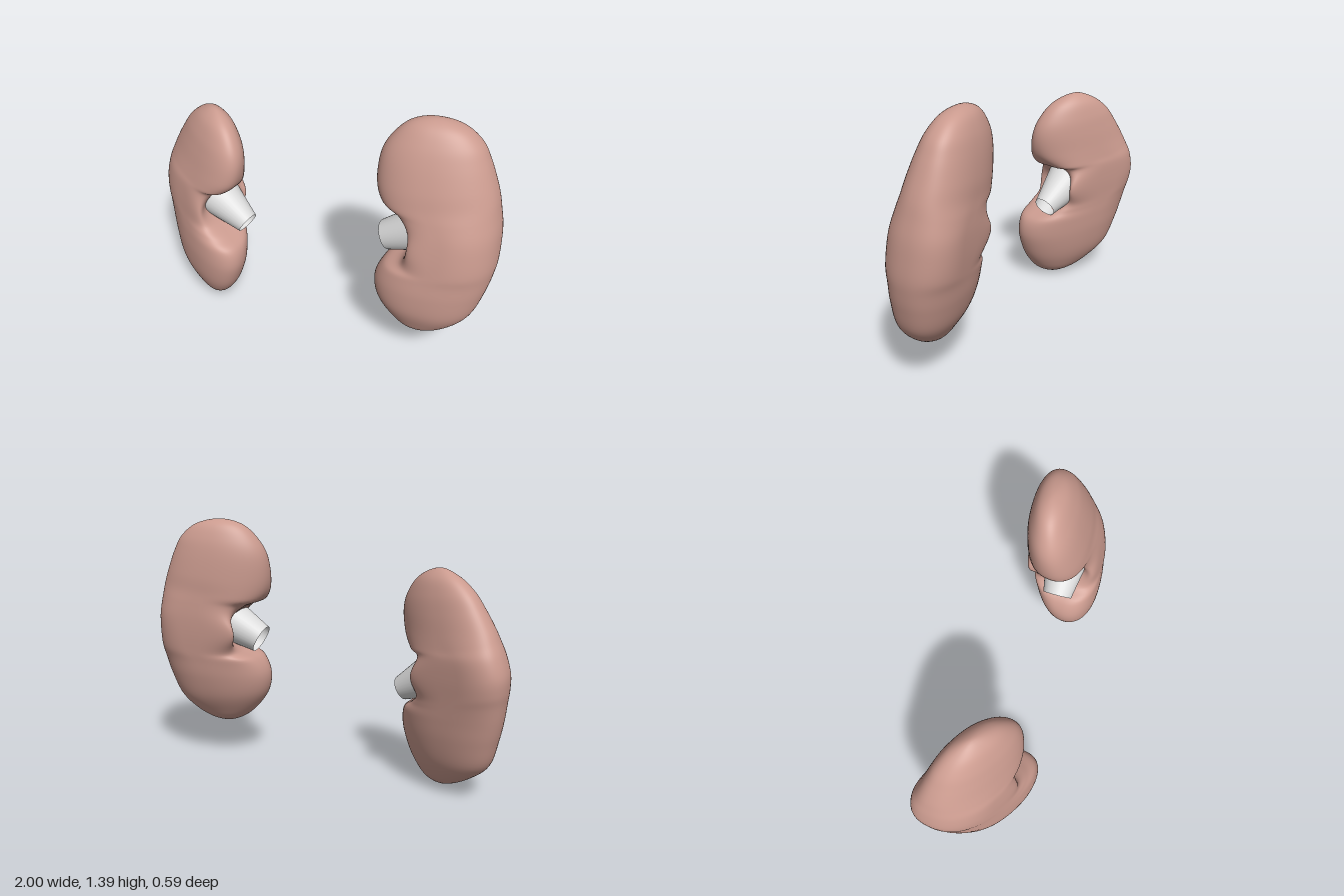
import * as THREE from 'three';
import { mergeVertices } from 'three/addons/utils/BufferGeometryUtils.js';

const flesh = new THREE.MeshStandardMaterial({ color: 0xcb9b8f });
flesh.name = 'flesh pink';
const duct = new THREE.MeshStandardMaterial({ color: 0xdcdcdc, side: THREE.DoubleSide });
duct.name = 'pale grey';

// Cross-sections from bottom to top: inner x, y, outer x, y, half thickness
const leftSections = [
  [0.68, 0.20, 0.68, 0.20, 0],
  [0.585, 0.23, 0.77, 0.225, 0.075],
  [0.50, 0.30, 0.86, 0.28, 0.12],
  [0.43, 0.40, 0.935, 0.37, 0.165],
  [0.412, 0.51, 0.975, 0.50, 0.19],
  [0.455, 0.605, 0.993, 0.60, 0.197],
  [0.54, 0.65, 1.0, 0.68, 0.2],
  [0.562, 0.74, 0.995, 0.78, 0.2],
  [0.555, 0.84, 0.985, 0.87, 0.195],
  [0.49, 0.91, 0.965, 0.96, 0.185],
  [0.40, 0.95, 0.945, 1.04, 0.175],
  [0.358, 1.04, 0.915, 1.12, 0.165],
  [0.358, 1.18, 0.87, 1.22, 0.14],
  [0.40, 1.28, 0.82, 1.30, 0.11],
  [0.48, 1.36, 0.73, 1.365, 0.065],
  [0.60, 1.39, 0.60, 1.39, 0],
];
const rightSections = [
  [-0.60, 0, -0.60, 0, 0],
  [-0.505, 0.035, -0.70, 0.035, 0.08],
  [-0.44, 0.11, -0.805, 0.10, 0.13],
  [-0.395, 0.20, -0.90, 0.19, 0.165],
  [-0.367, 0.31, -0.945, 0.33, 0.185],
  [-0.385, 0.405, -0.97, 0.44, 0.19],
  [-0.46, 0.46, -0.985, 0.54, 0.19],
  [-0.535, 0.52, -0.995, 0.61, 0.19],
  [-0.553, 0.62, -0.995, 0.69, 0.19],
  [-0.53, 0.72, -0.97, 0.78, 0.185],
  [-0.46, 0.75, -0.94, 0.85, 0.172],
  [-0.40, 0.82, -0.91, 0.91, 0.157],
  [-0.38, 0.93, -0.86, 0.99, 0.137],
  [-0.405, 1.03, -0.80, 1.07, 0.112],
  [-0.48, 1.125, -0.71, 1.14, 0.07],
  [-0.60, 1.175, -0.60, 1.175, 0],
];

// Bean body lofted through the sections, its middle plane leaning by leanZ(x, y)
function beanGeometry(sections, side, hilumY, leanZ) {
  // a mirrored section past each pole keeps the ends domed
  const mirrored = ([ix, iy, ox, oy, t]) => [ox, oy, ix, iy, -t];
  const all = [mirrored(sections[1]), ...sections, mirrored(sections.at(-2))];
  const curve = (f) => new THREE.CatmullRomCurve3(all.map(f), false, 'catmullrom', 0.5);
  const inner = curve((s) => new THREE.Vector3(s[0], s[1], s[4]));
  const outer = curve((s) => new THREE.Vector3(s[2], s[3], s[4]));
  const rows = 90, cols = 72, pos = [], index = [];
  for (let i = 0; i <= rows; i++) {
    const t = (1 + (i / rows) * (all.length - 3)) / (all.length - 1);
    const p = inner.getPoint(t), q = outer.getPoint(t);
    const near = (width) => Math.exp(-(((p.y - hilumY) / width) ** 2));
    const dent = 0.06 * near(0.09), backLip = 0.19 * near(0.13), square = near(0.15);
    for (let j = 0; j < cols; j++) {
      const a = (j / cols) * Math.PI * 2, c = Math.cos(a), s = Math.sin(a);
      const inward = Math.max(0, -c), backward = Math.max(0, -side * s);
      // squarer inner side at the hilum, hollow between its lips, the back lip reaching further in
      const e = c < 0 ? 0.95 - 0.48 * square : 0.88;
      const k = (1 + Math.sign(c) * Math.abs(c) ** e) / 2;
      const pull = dent * inward ** 6 - backLip * Math.sqrt(inward) * backward;
      const x = p.x + (q.x - p.x) * k + side * pull;
      const y = p.y + (q.y - p.y) * k;
      const w = Math.sign(s) * Math.abs(s) ** e * Math.max(0, p.z);
      pos.push(x, y, leanZ(x, y) + side * w);
      if (i < rows) {
        const n = (j + 1) % cols, r = i * cols, u = r + cols;
        index.push(r + j, u + j, u + n, r + j, u + n, r + n);
      }
    }
  }
  let g = new THREE.BufferGeometry();
  g.setAttribute('position', new THREE.Float32BufferAttribute(pos, 3));
  g.setIndex(index);
  g = mergeVertices(g, 1e-5);
  g.computeVertexNormals();
  return g;
}

// Open funnel from its mouth to its root inside the hilum
function funnel(mouth, root, mouthRadius, rootRadius) {
  const a = new THREE.Vector3(...mouth), b = new THREE.Vector3(...root);
  const axis = a.clone().sub(b);
  const g = new THREE.CylinderGeometry(mouthRadius, rootRadius, axis.length(), 32, 1, true);
  const m = new THREE.Mesh(g, duct);
  m.position.copy(a).add(b).multiplyScalar(0.5);
  m.quaternion.setFromUnitVectors(new THREE.Vector3(0, 1, 0), axis.normalize());
  return m;
}

function organ(side, body, tube) {
  const g = new THREE.Group();
  g.name = side + 'Kidney';
  const mesh = new THREE.Mesh(body, flesh);
  mesh.name = side + 'KidneyBody';
  tube.name = side + 'Ureter';
  g.add(mesh, tube);
  return g;
}

export function createModel() {
  const model = new THREE.Group();
  model.name = 'kidneys';
  model.add(
    organ('left',
      beanGeometry(leftSections, 1, 0.77, (x, y) => -0.065 - 0.17 * (x - 0.68) - 0.14 * (y - 0.75)),
      funnel([0.435, 0.715, -0.01], [0.63, 0.82, -0.04], 0.08, 0.12)),
    organ('right',
      beanGeometry(rightSections, -1, 0.61, (x, y) => 0.04 + 0.37 * (x + 0.68) - 0.1 * (y - 0.6)),
      funnel([-0.39, 0.515, 0.07], [-0.6, 0.63, 0.05], 0.065, 0.125)),
  );
  return model;
}
